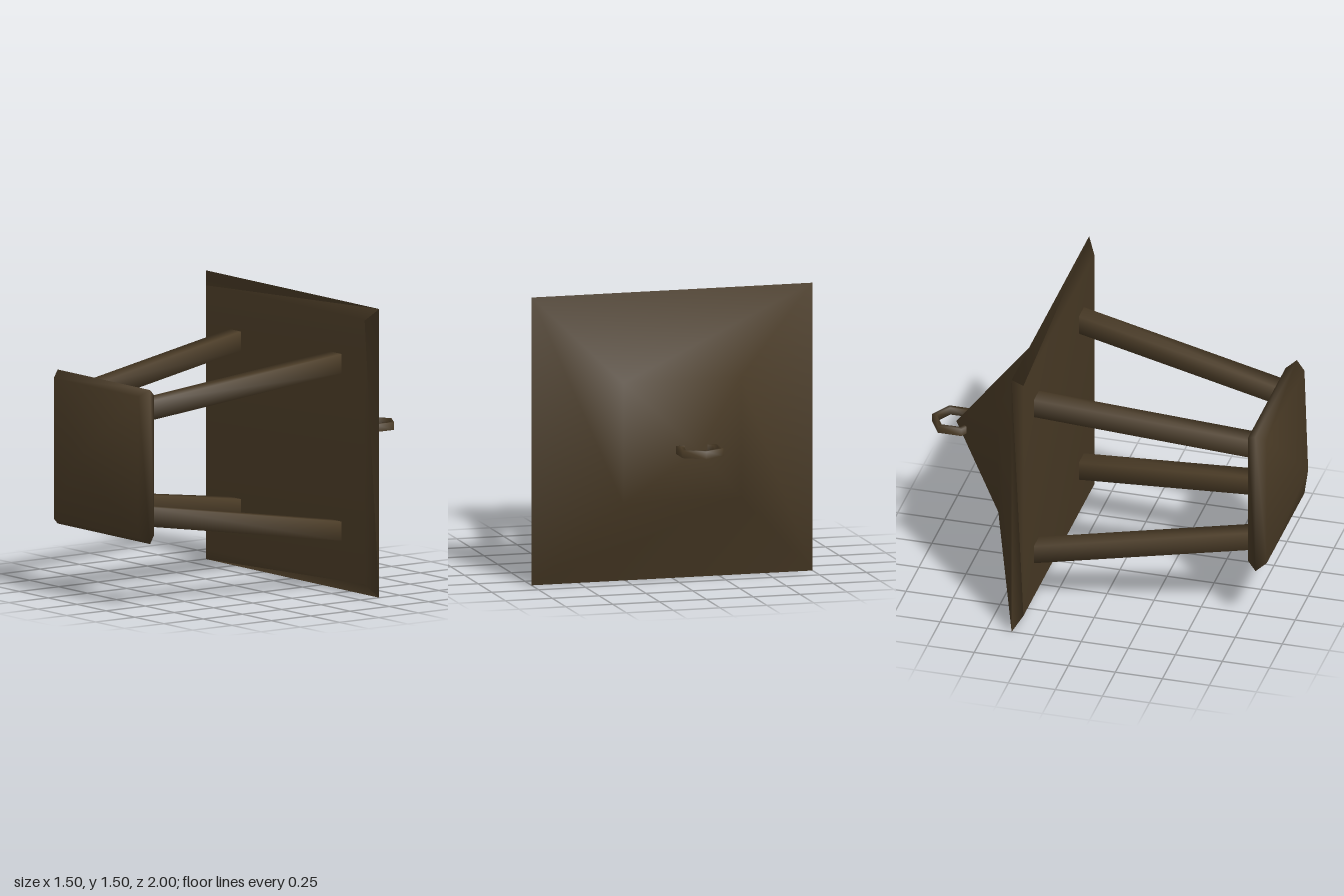
import * as THREE from 'three';
import { mergeVertices } from 'three/addons/utils/BufferGeometryUtils.js';

const CY = 0.755; // height of the lantern's axis

// Smooth square loft along z; sections are [z, half size, centre x, centre y], z rising
function squareLoft(sections) {
  const corners = [[-1, -1], [1, -1], [1, 1], [-1, 1]];
  const pos = [], index = [];
  for (const [z, h, cx = 0, cy = 0] of sections)
    for (const [sx, sy] of corners) pos.push(cx + sx * h, cy + sy * h, z);
  const last = (sections.length - 1) * 4;
  for (let i = 0; i < last; i += 4)
    for (let j = 0; j < 4; j++) {
      const k = (j + 1) % 4;
      index.push(i + j, i + k, i + 4 + k, i + j, i + 4 + k, i + 4 + j);
    }
  index.push(0, 2, 1, 0, 3, 2, last, last + 1, last + 2, last, last + 2, last + 3);
  const geo = new THREE.BufferGeometry();
  geo.setAttribute('position', new THREE.Float32BufferAttribute(pos, 3));
  geo.setIndex(index);
  const merged = mergeVertices(geo); // joins the tips into single points
  merged.computeVertexNormals();
  return merged;
}

export function createModel() {
  const model = new THREE.Group();
  model.name = 'lantern';
  const bronze = new THREE.MeshStandardMaterial({ color: 0x4a3b26 });
  bronze.name = 'dark bronze';

  const add = (name, geo) => {
    const mesh = new THREE.Mesh(geo, bronze);
    mesh.name = name;
    mesh.position.y = CY;
    model.add(mesh);
    return mesh;
  };

  // Flared roof with its tip towards the back
  add('roof', squareLoft([[-0.87, 0], [-0.56, 0.315], [-0.37, 0.75], [-0.325, 0.685]]));

  // Base with a shallow point towards the front
  add('base', squareLoft([[0.78, 0.365], [0.83, 0.4], [0.88, 0.365], [1, 0]]));

  // Four slanted posts
  for (const sx of [-1, 1])
    for (const sy of [-1, 1])
      add((sy > 0 ? 'upper' : 'lower') + (sx > 0 ? 'Left' : 'Right') + 'Post', squareLoft([
        [-0.33, 0.05, sx * 0.436, sy * 0.436],
        [0.785, 0.05, sx * 0.274, sy * 0.274],
      ]));

  // Six-sided hanging ring through the roof tip
  const profile = [[0.125, -0.02], [0.125, 0.02], [0.099, 0.02], [0.099, -0.02], [0.125, -0.02]];
  const ring = add('hangingRing', new THREE.LatheGeometry(profile.map(([x, y]) => new THREE.Vector2(x, y)), 6));
  ring.position.z = -0.875;

  return model;
}
